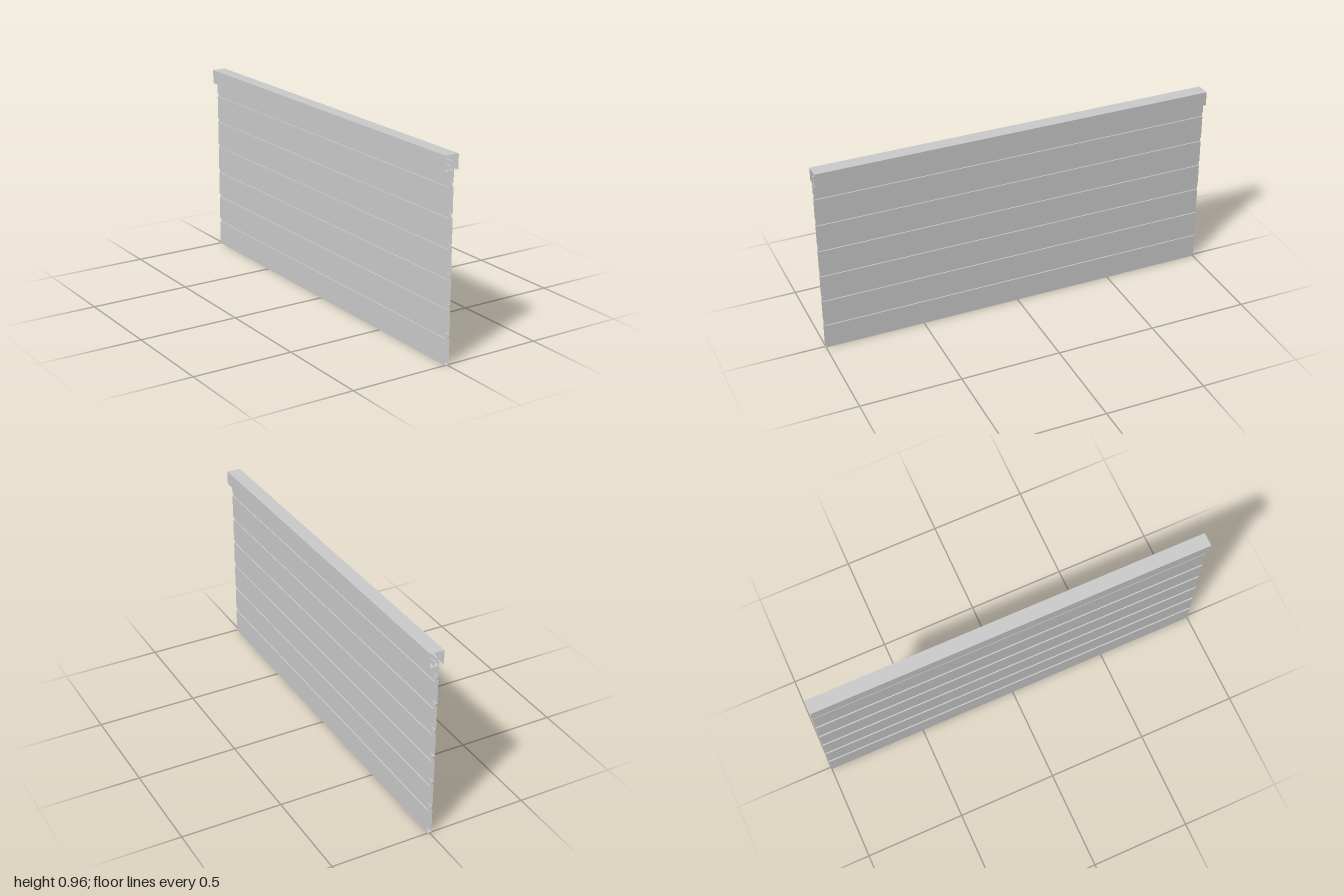
import * as THREE from 'three';

const HALF_LENGTH = 1;
const SLAT_HALF = 0.011;   // half thickness of a slat
const TONGUE_HALF = 0.005; // half thickness of the tongue between slats
const RAIL_HALF = 0.035;
const RAIL_BOTTOM = 0.895;
const RAIL_TOP = 0.965;
const PITCH = 0.139;
const SLAT_HEIGHT = 0.122;
const SLATS = 7;

const material = new THREE.MeshStandardMaterial({ color: 0xcccccc, side: THREE.DoubleSide });

// Sweeps a counter-clockwise xy outline along z as a thin shell with open ends.
function shell(name, outline) {
  const positions = [];
  outline.forEach(([x0, y0], i) => {
    const [x1, y1] = outline[(i + 1) % outline.length];
    const a = [x0, y0, -HALF_LENGTH];
    const b = [x1, y1, -HALF_LENGTH];
    const c = [x1, y1, HALF_LENGTH];
    const d = [x0, y0, HALF_LENGTH];
    positions.push(...a, ...b, ...c, ...a, ...c, ...d);
  });
  const geometry = new THREE.BufferGeometry();
  geometry.setAttribute('position', new THREE.Float32BufferAttribute(positions, 3));
  geometry.computeVertexNormals();
  const mesh = new THREE.Mesh(geometry, material);
  mesh.name = name;
  return mesh;
}

// Closes a right-hand profile with its mirror image on the left.
const mirrored = (right) => [...right, ...right.slice().reverse().map(([x, y]) => [-x, y])];

export function createModel() {
  const model = new THREE.Group();
  model.name = 'slattedBlind';

  // Curtain: stacked slats joined by narrow tongues, the top one held inside the rail
  const side = [];
  for (let i = 0; i < SLATS; i++) {
    const y = i * PITCH + (i ? 0.005 : 0);
    const last = i === SLATS - 1;
    const top = last ? 0.918 : i * PITCH + 0.003 + SLAT_HEIGHT;
    side.push([SLAT_HALF, y], [SLAT_HALF, top], [TONGUE_HALF, top]);
    side.push([TONGUE_HALF, last ? 0.938 : (i + 1) * PITCH + 0.005]);
  }
  model.add(shell('slatCurtain', mirrored(side)));

  // Head rail: box channel whose lower lips meet the curtain
  const rail = [
    [SLAT_HALF, RAIL_BOTTOM],
    [RAIL_HALF, RAIL_BOTTOM],
    [RAIL_HALF, RAIL_TOP],
  ];
  model.add(shell('headRail', mirrored(rail)));

  return model;
}
